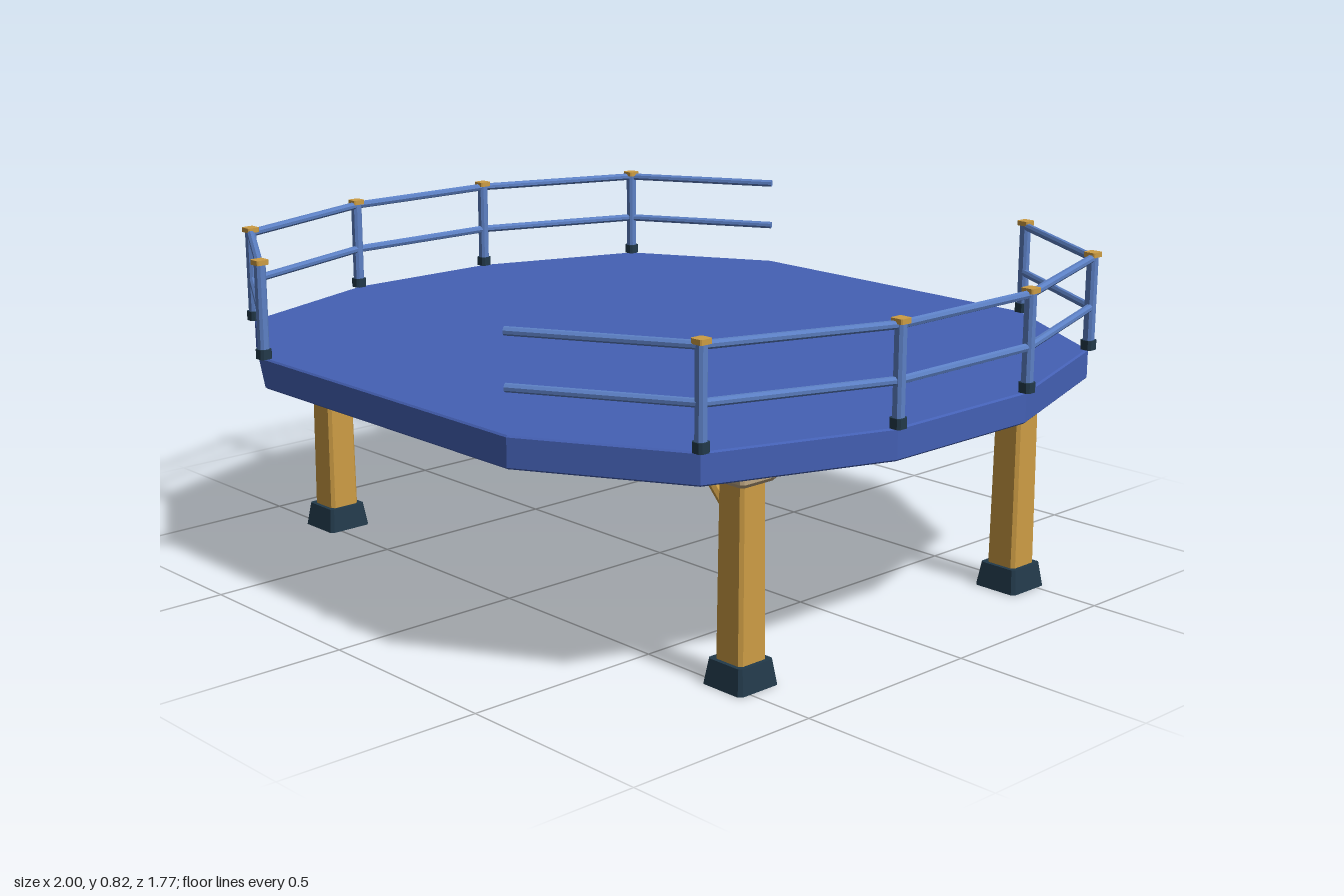
import * as THREE from 'three';

const mat = (name, color) => {
  const m = new THREE.MeshStandardMaterial({ color, flatShading: true });
  m.name = name;
  return m;
};

// Upright prism with chamfered corners, standing on y = 0, tapering to topScale
function prism(w, h, c, topScale = 1) {
  const a = w / 2, b = a - c;
  const pts = [[a, -b], [a, b], [b, a], [-b, a], [-a, b], [-a, -b], [-b, -a], [b, -a]];
  const shape = new THREE.Shape(pts.map(([x, y]) => new THREE.Vector2(x, y)));
  const geo = new THREE.ExtrudeGeometry(shape, { depth: h, bevelEnabled: false });
  geo.rotateX(-Math.PI / 2);
  const p = geo.attributes.position;
  for (let i = 0; i < p.count; i++) {
    const s = 1 + (topScale - 1) * (p.getY(i) / h);
    p.setX(i, p.getX(i) * s);
    p.setZ(i, p.getZ(i) * s);
  }
  geo.computeVertexNormals();
  return geo;
}

// Round bar between two points
function bar(a, b, r) {
  const dir = b.clone().sub(a);
  const geo = new THREE.CylinderGeometry(r, r, dir.length(), 8);
  geo.applyQuaternion(new THREE.Quaternion().setFromUnitVectors(new THREE.Vector3(0, 1, 0), dir.normalize()));
  const mid = a.clone().add(b).multiplyScalar(0.5);
  return geo.translate(mid.x, mid.y, mid.z);
}

export function createModel() {
  const model = new THREE.Group();
  model.name = 'raisedPlatform';
  const deckBlue = mat('deckBlue', 0x4460b4);
  const railBlue = mat('railBlue', 0x5c80c4);
  const timber = mat('timber', 0xcc9c44);
  const darkFoot = mat('darkFoot', 0x22394a);
  const paleCap = mat('paleCap', 0xbda682);

  const add = (parent, name, geo, material, x = 0, y = 0, z = 0) => {
    const m = new THREE.Mesh(geo, material);
    m.name = name;
    m.position.set(x, y, z);
    parent.add(m);
  };

  // Corners of the left side, from back to front
  const side = [[0.46, -0.87], [0.83, -0.657], [0.983, -0.22], [0.983, 0.22], [0.83, 0.657], [0.46, 0.87]];
  const outline = [...side, ...side.map(([x, z]) => [-x, -z])];

  // Twelve-sided deck with a fine bevel
  const deckShape = new THREE.Shape(outline.map(([x, z]) => new THREE.Vector2(x, -z)));
  const deck = new THREE.ExtrudeGeometry(deckShape, {
    depth: 0.067, bevelThickness: 0.004, bevelSize: 0.004, bevelOffset: -0.004, bevelSegments: 1,
  });
  deck.rotateX(-Math.PI / 2);
  add(model, 'deck', deck, deckBlue, 0, 0.509, 0);

  // Railings; the right one is the left one turned half way round
  for (const s of [1, -1]) {
    const railing = new THREE.Group();
    railing.name = s > 0 ? 'leftRailing' : 'rightRailing';
    side.forEach(([px, pz], i) => {
      const x = px * s, z = pz * s;
      // The last corner has no post
      if (i < 5) {
        add(railing, 'postBase', prism(0.032, 0.024, 0.006), darkFoot, x, 0.58, z);
        add(railing, 'post', prism(0.025, 0.215, 0.006), railBlue, x, 0.6, z);
        add(railing, 'postCap', prism(0.033, 0.012, 0.003), timber, x, 0.81, z);
        const [nx, nz] = side[i + 1];
        for (const y of [0.685, 0.807]) {
          const geo = bar(new THREE.Vector3(x, y, z), new THREE.Vector3(nx * s, y, nz * s), 0.01);
          add(railing, 'rail', geo, railBlue);
        }
      }
    });
    model.add(railing);
  }

  // Four legs with feet, caps and inward braces
  for (const sx of [1, -1]) {
    for (const sz of [1, -1]) {
      const leg = new THREE.Group();
      leg.name = (sz > 0 ? 'front' : 'back') + (sx > 0 ? 'Left' : 'Right') + 'Leg';
      leg.position.set(0.765 * sx, 0, 0.47 * sz);
      add(leg, 'foot', prism(0.122, 0.06, 0.008, 0.85), darkFoot);
      add(leg, 'column', prism(0.083, 0.42, 0.008, 0.92), timber, 0, 0.055, 0);
      add(leg, 'capUnderside', prism(0.097, 0.01, 0.006, 1.18), paleCap, 0, 0.468, 0);
      add(leg, 'cap', prism(0.1145, 0.028, 0.007), paleCap, 0, 0.478, 0);
      const brace = bar(new THREE.Vector3(-0.015 * sx, 0.37, 0), new THREE.Vector3(-0.155 * sx, 0.515, 0), 0.015);
      add(leg, 'brace', brace, timber);
      model.add(leg);
    }
  }
  return model;
}
